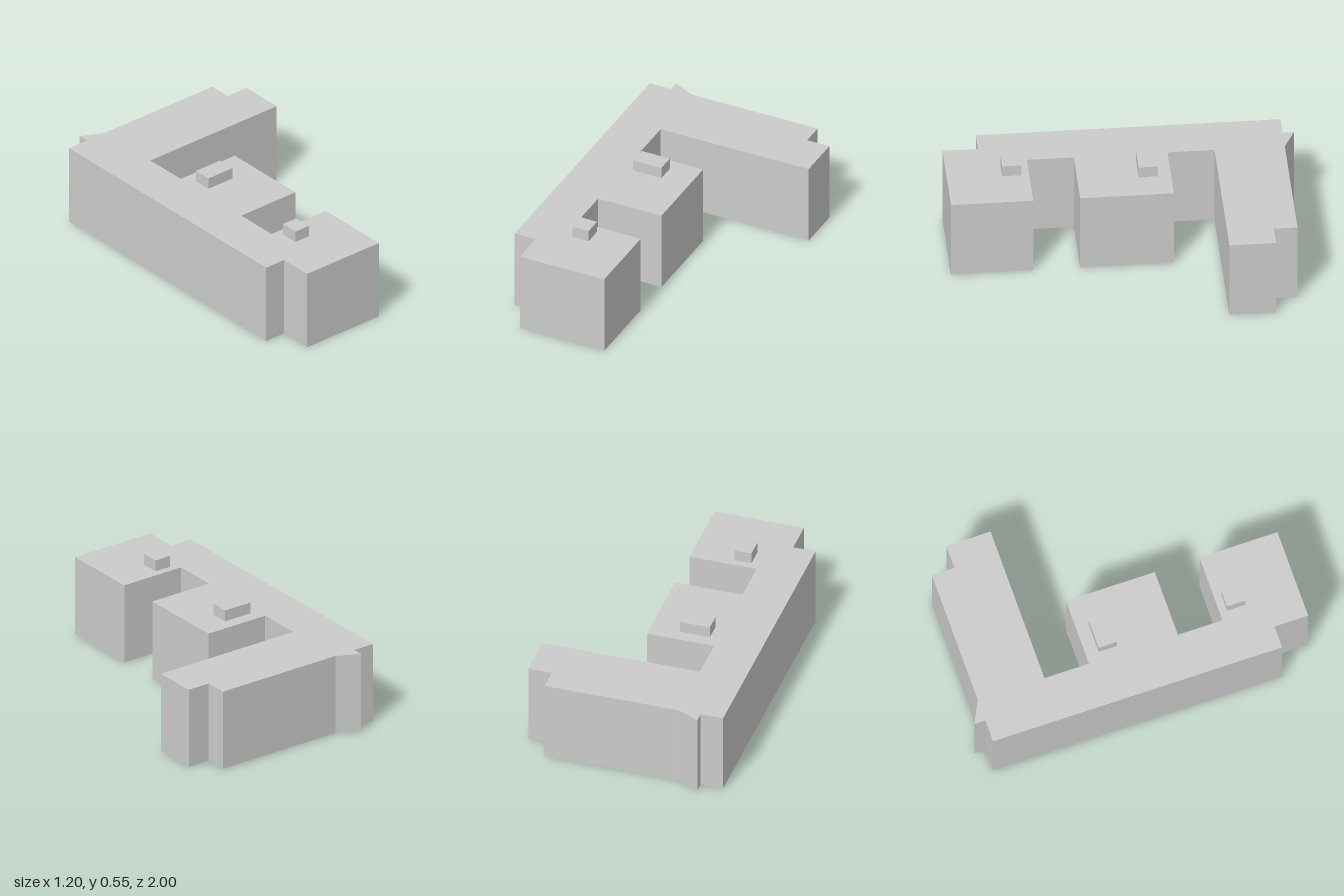
import * as THREE from 'three';

const WALL_HEIGHT = 0.483;
const TOP = 0.551;

// Building footprint as [x, z] corners
const FOOTPRINT = [
  [-0.6, -0.935], [-0.467, -0.935], [-0.467, -1], [-0.335, -0.935],
  [0.46, -0.935], [0.46, -0.8], [0.6, -0.8], [0.6, -0.535],
  [-0.335, -0.535], [-0.335, -0.268], [0.065, -0.268], [0.065, 0.265],
  [-0.335, 0.265], [-0.335, 0.532], [0.065, 0.532], [0.065, 1],
  [-0.467, 1], [-0.467, 0.798], [-0.6, 0.798],
];

export function createModel() {
  const group = new THREE.Group();
  group.name = 'building';
  const material = new THREE.MeshStandardMaterial({ color: 0xcccccc, flatShading: true });

  const add = (name, geometry) => {
    const mesh = new THREE.Mesh(geometry, material);
    mesh.name = name;
    group.add(mesh);
    return mesh;
  };

  // Main block: footprint raised to the flat roof
  const shape = new THREE.Shape(FOOTPRINT.map(([x, z]) => new THREE.Vector2(x, -z)));
  const block = new THREE.ExtrudeGeometry(shape, { depth: WALL_HEIGHT, bevelEnabled: false });
  block.rotateX(-Math.PI / 2);
  add('mainBlock', block);

  // Small rooftop housings standing on the roof
  const housing = (name, x, z, width, depth) => {
    const height = TOP - WALL_HEIGHT;
    add(name, new THREE.BoxGeometry(width, height, depth))
      .position.set(x, WALL_HEIGHT + height / 2, z);
  };
  housing('middleRoofHousing', -0.197, -0.138, 0.178, 0.11);
  housing('frontRoofHousing', -0.239, 0.631, 0.1, 0.11);

  return group;
}
